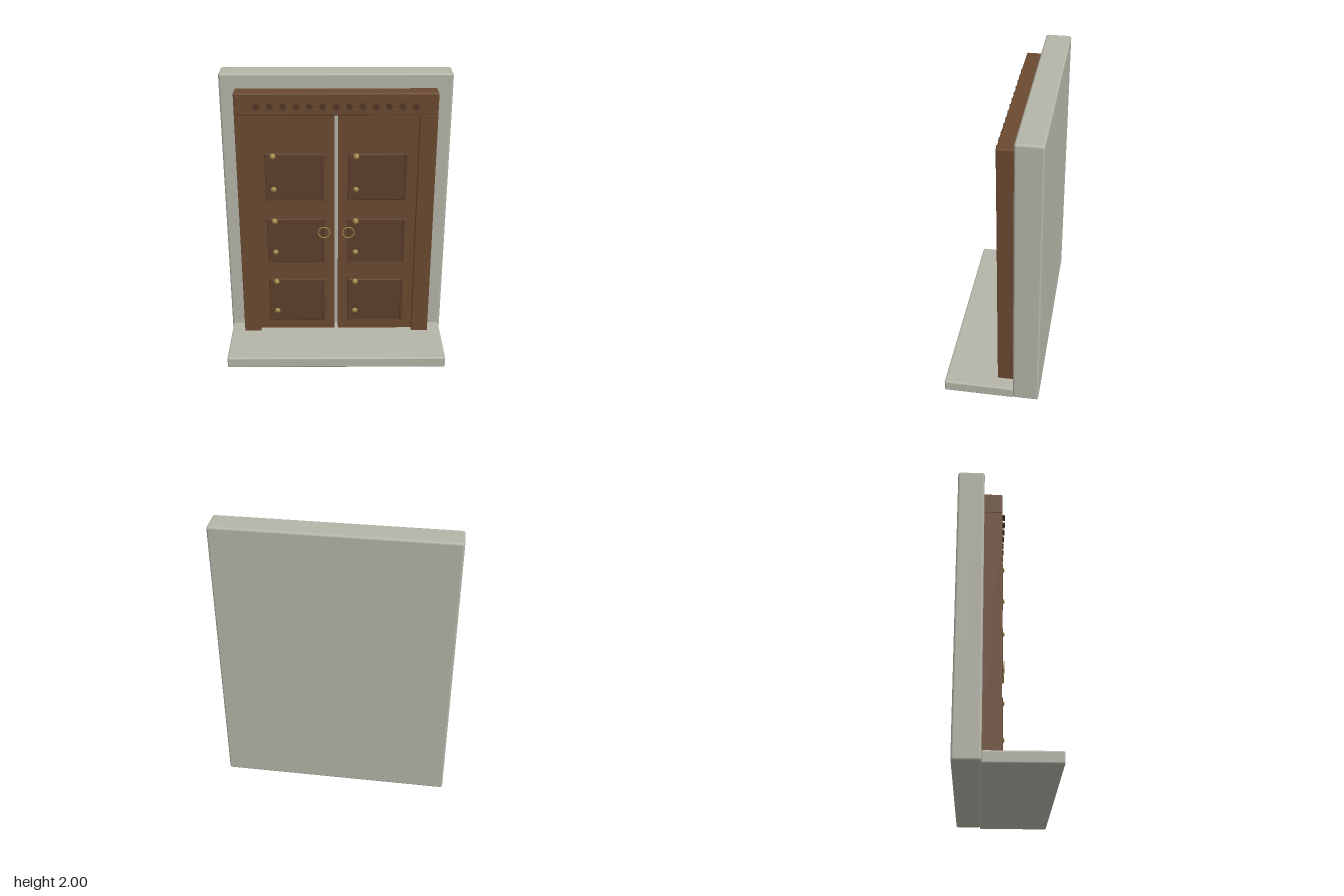
import * as THREE from 'three';
import { RoundedBoxGeometry } from 'three/addons/geometries/RoundedBoxGeometry.js';

const mat = (color) => new THREE.MeshStandardMaterial({ color });

export function createModel() {
  const group = new THREE.Group();
  const stone = mat(0xb4b4a8), wood = mat(0x6b4a30), darkWood = mat(0x5c3f2b);
  const carved = mat(0x4f3625), brass = mat(0xa08848);

  const add = (name, geometry, material, x = 0, y = 0, z = 0, parent = group) => {
    const mesh = new THREE.Mesh(geometry, material);
    mesh.name = name;
    mesh.position.set(x, y, z);
    parent.add(mesh);
    return mesh;
  };

  // Rounded box given by its limits on each axis
  const block = (name, material, [x0, x1], [y0, y1], [z0, z1], r, parent = group) =>
    add(name, new RoundedBoxGeometry(x1 - x0, y1 - y0, z1 - z0, 3, r), material,
      (x0 + x1) / 2, (y0 + y1) / 2, (z0 + z1) / 2, parent);

  // Stone wall and doorstep
  block('wall', stone, [-0.78, 0.78], [0.013, 2], [-0.325, -0.15], 0.015);
  block('doorstep', stone, [-0.77, 0.77], [0, 0.08], [-0.155, 0.325], 0.012);

  // Frame
  block('lintel', wood, [-0.675, 0.675], [1.75, 1.9], [-0.155, -0.03], 0.008);
  block('leftJamb', wood, [0.555, 0.675], [0.078, 1.755], [-0.155, -0.031], 0.005);
  block('rightJamb', wood, [-0.675, -0.555], [0.078, 1.755], [-0.155, -0.031], 0.005);

  // Row of carved diamonds on the lintel
  for (let i = -6; i <= 6; i++) {
    const diamond = add('diamond', new THREE.BoxGeometry(0.035, 0.035, 0.022), carved, i * 0.0875, 1.815, -0.02);
    diamond.rotation.z = Math.PI / 4;
  }

  const studGeometry = new THREE.SphereGeometry(0.021, 20, 14);
  const ringGeometry = new THREE.TorusGeometry(0.04, 0.004, 10, 40);

  for (const side of [1, -1]) {
    const door = new THREE.Group();
    door.name = side > 0 ? 'leftDoor' : 'rightDoor';
    group.add(door);

    // Door leaf
    const leaf = new THREE.BoxGeometry(0.543, 1.665, 0.085);
    add('leaf', leaf, wood, side * 0.2835, 0.9175, -0.1075, door);

    // Raised panels with edge mouldings and two studs each
    for (const y of [0.347, 0.828, 1.31]) {
      const x = side * 0.282;
      block('panel', darkWood, [x - 0.195, x + 0.195], [y - 0.168, y + 0.168], [-0.07, -0.026], 0.005, door);
      for (const end of [-1, 1]) {
        const bar = x + end * 0.192;
        block('moulding', darkWood, [bar - 0.01, bar + 0.01], [y - 0.172, y + 0.172], [-0.07, -0.021], 0.005, door);
        add('stud', studGeometry, brass, x - 0.147, y + 0.032 + end * 0.12, -0.031, door);
      }
    }

    // Pull ring
    add('pullRing', ringGeometry, brass, side * 0.085, 0.905, -0.004, door);
  }
  return group;
}
